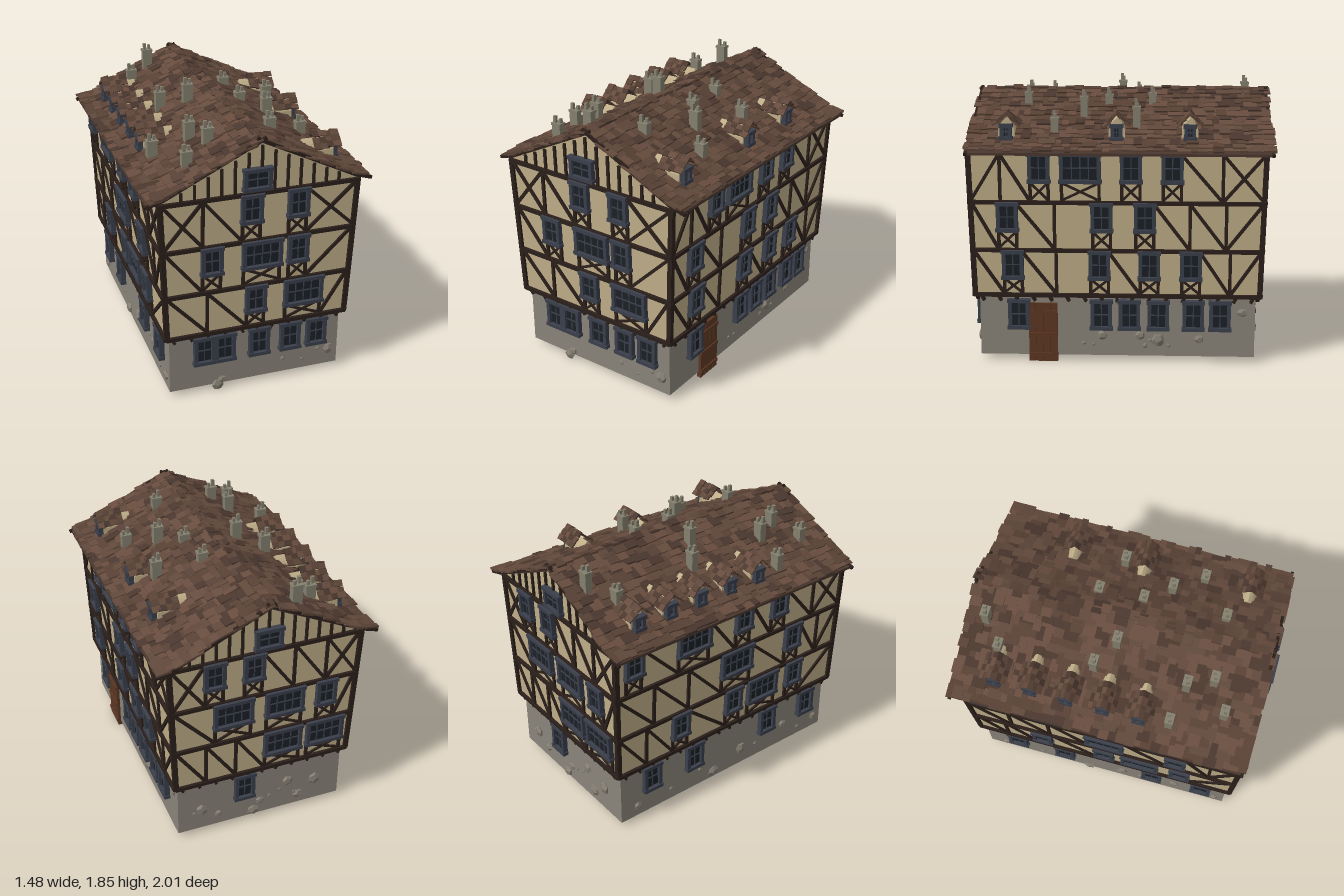
import * as THREE from 'three';
import { mergeGeometries } from 'three/addons/utils/BufferGeometryUtils.js';

const mat = (color, side = THREE.FrontSide) => new THREE.MeshStandardMaterial({ color, flatShading: true, side });
const M = {
  plaster: mat(0xbfae88, THREE.DoubleSide), stone: mat(0x89847a, THREE.DoubleSide), rock: mat(0x857f73),
  timber: mat(0x2b1f1a), frame: mat(0x3a3f4b), glass: mat(0x1b2026), door: mat(0x5c3622), chimney: mat(0x84806f),
  tiles: [mat(0x5f473a), mat(0x574034), mat(0x674c3e), mat(0x4a372e)],
};
const LEVELS = [0.46, 0.765, 1.085, 1.41]; // floor lines
const ZC = 0.022; // middle of the walls along z

let seed = 7;
const rnd = (a, b) => {
  seed = (seed * 16807) % 2147483647;
  return a + (b - a) * (seed / 2147483647);
};

const box = (w, h, d, x, y, z) => new THREE.BoxGeometry(w, h, d).translate(x, y, z);
// Timber from one point to another in the plane of a wall
const beam = (x1, y1, x2, y2, w = 0.021, d = 0.028, z = 0) =>
  new THREE.BoxGeometry(Math.hypot(x2 - x1, y2 - y1) + w / 2, w, d)
    .rotateZ(Math.atan2(y2 - y1, x2 - x1)).translate((x1 + x2) / 2, (y1 + y2) / 2, z);
const add = (parent, name, geos, material) => {
  const mesh = new THREE.Mesh(Array.isArray(geos) ? mergeGeometries(geos) : geos, material);
  mesh.name = name;
  parent.add(mesh);
};
const polygon = (pts) => new THREE.Shape(pts.map((p) => new THREE.Vector2(...p)));

// Framed window standing in the plane z = 0
function addWindow(parent, x, y0, y1, w) {
  const g = new THREE.Group(), h = y1 - y0, y = (y0 + y1) / 2, t = 0.024, cols = w > 0.22 ? 4 : 2;
  g.name = 'window';
  const frame = [-1, 1].flatMap((s) => [
    box(t, h, 0.05, x + s * (w - t) / 2, y, 0.01),
    box(w + 0.012, t, 0.056, x, y + s * (h - t) / 2, 0.012),
  ]);
  for (let i = 1; i < cols; i++) frame.push(box(0.007, h - t, 0.02, x - w / 2 + t + (w - 2 * t) * i / cols, y, 0.011));
  frame.push(box(w - t, 0.007, 0.02, x, y, 0.011));
  add(g, 'windowFrame', frame, M.frame);
  add(g, 'windowGlass', box(w - t, h - t, 0.022, x, y, 0.004), M.glass);
  parent.add(g);
}

// Roof surface height and slope at a distance from the ridge
const roofY = (x) => (x < 0.62 ? 1.75 - 0.48 * x : 1.4524 - 0.29 * (x - 0.62));
const roofSlope = (x) => Math.atan(x < 0.62 ? 0.48 : 0.29);

// Window centres along each wall, from the ground floor up; big stones as [along, y]
const WALLS = [
  { name: 'frontWall', rot: 0, s: 1, c: 0, gable: true, gableWindow: -0.03, pebbles: 3,
    single: [[-0.355, -0.215, 0.02, 0.235, 0.42], [-0.02], [-0.315, 0.255], [-0.06, 0.245]],
    wide: [[], [0.305], [0.015], []],
    stones: [[-0.23, 0.07], [0.52, 0.155], [-0.26, 0.035]] },
  { name: 'rightWall', rot: Math.PI / 2, s: -1, c: ZC, pebbles: 5, door: 0.51,
    single: [[0.67, 0.125, -0.06, -0.25, -0.48, -0.655], [0.7, 0.135, -0.19, -0.46], [0.73, 0.12, -0.16], [0.52, -0.07, -0.335]],
    wide: [[], [], [], [0.255]],
    stones: [[0.12, 0.18], [-0.13, 0.18], [-0.25, 0.15], [-0.52, 0.16], [-0.8, 0.345]] },
  { name: 'backWall', rot: Math.PI, s: -1, c: 0, gable: true, gableWindow: 0, pebbles: 5,
    single: [[0.12], [], [-0.42], [0.35, 0.09]],
    wide: [[], [-0.13, -0.43], [0.22, -0.13], []],
    stones: [[0.42, 0.2], [0.3, 0.13], [0.05, 0.08], [-0.2, 0.26], [-0.4, 0.22], [-0.28, 0.12], [0, 0.15]] },
  { name: 'leftWall', rot: -Math.PI / 2, s: 1, c: ZC, pebbles: 5,
    single: [[-0.64, -0.28, 0.38, 0.75], [-0.42, 0.03, 0.58], [0.54], [-0.8, 0.08, 0.39]],
    wide: [[], [0.29], [0.04], [-0.33]],
    stones: [[-0.75, 0.12], [0.15, 0.17], [-0.1, 0.09], [0.55, 0.2], [0.86, 0.13]] },
];

// Diagonals and posts filling the free stretch a..b of a storey
function braceGap(a, b, lo, hi, leftEnd, rightEnd, gable) {
  const width = b - a, out = [], top = hi === LEVELS[3];
  if (width < (leftEnd || rightEnd ? 0.1 : 0.19)) return out;
  const n = Math.max(1, Math.round(width / 0.24)), step = width / n;
  for (let i = 0; i < n; i++) {
    const l = a + i * step + 0.01, r = l + step - 0.02, y0 = lo + 0.02, y1 = hi - 0.02;
    const first = leftEnd && i === 0, last = rightEnd && i === n - 1;
    if (i > 0) out.push(beam(l - 0.01, lo, l - 0.01, hi));
    if (i > 0 && !leftEnd && !rightEnd) continue;
    const rising = last || (top && first), cross = top && (last || (first && gable));
    if (rising) out.push(beam(l, y0, r, y1));
    if (!rising || cross) out.push(beam(l, y1, r, y0));
  }
  return out;
}

function buildWall({ name, rot, s, c, gable, gableWindow, pebbles, door, single, wide, stones }) {
  const U = (v) => s * (v - c); // world position to position along the wall
  const g = new THREE.Group(), upper = new THREE.Group(), tilt = new THREE.Group(), base = new THREE.Group();
  g.name = name; upper.name = 'upperFloors'; base.name = 'groundFloor';
  g.rotation.y = rot;
  const [baseHalf, half, topHalf] = gable ? [0.585, 0.605, 0.64] : [0.907, 0.9325, 0.9525];
  base.position.z = gable ? 0.907 : 0.585;
  // Upper storeys lean slightly outward
  tilt.position.set(0, 0.46, gable ? 0.9325 : 0.605);
  tilt.rotation.x = gable ? 0.021 : 0.037;
  upper.position.y = -0.46;
  tilt.add(upper);
  g.add(base, tilt);

  add(base, 'stoneWall', new THREE.PlaneGeometry(2 * baseHalf, 0.43).translate(0, 0.255, 0), M.stone);
  const peak = gable ? [[0, 1.735]] : [];
  add(upper, 'plasterWall', new THREE.ShapeGeometry(polygon([[-half, 0.46], [half, 0.46], [topHalf, 1.42], ...peak, [-topHalf, 1.42]])), M.plaster);

  // Timber frame: floor beams, corner posts, window posts with crosses, braces
  const t = [];
  const halfAt = (y) => half + (topHalf - half) * (y - 0.46) / 0.95;
  for (const y of LEVELS) t.push(beam(-halfAt(y), y, halfAt(y), y, 0.026, 0.04));
  for (const m of [-1, 1]) t.push(beam(m * half, 0.46, m * topHalf, 1.41, 0.03, 0.034));
  for (let floor = 0; floor < 4; floor++) {
    const wins = [...single[floor].map((v) => [U(v), 0.14]), ...wide[floor].map((v) => [U(v), 0.265])].sort((p, q) => p[0] - q[0]);
    if (floor === 0) {
      for (const [u, w] of wins) addWindow(base, u, 0.222, 0.428, w);
      continue;
    }
    const lo = LEVELS[floor - 1], hi = LEVELS[floor], sill = hi - 0.195;
    let from = -halfAt(lo);
    for (const [u, w] of wins) {
      const k = w / 2 - 0.012;
      addWindow(upper, u, sill, hi + 0.004, w);
      for (const m of [-1, 1]) t.push(beam(u + m * k, lo, u + m * k, hi), beam(u - m * k, lo + 0.015, u + m * k, sill, 0.015, 0.024));
      t.push(...braceGap(from, u - k, lo, hi, from === -halfAt(lo), false, gable));
      from = u + k;
    }
    t.push(...braceGap(from, halfAt(lo), lo, hi, false, true, gable));
  }
  if (gable) {
    addWindow(upper, U(gableWindow), 1.435, 1.585, 0.18);
    for (let x = -0.51; x < 0.52; x += 0.085) {
      const low = Math.abs(x - U(gableWindow)) < 0.09 ? 1.585 : 1.41;
      t.push(beam(x, low, x, roofY(Math.abs(x)) - 0.03, 0.017));
    }
  }
  add(upper, 'timberFrame', t, M.timber);

  // Slanted joist ends beneath the overhang
  const joists = [], n = gable ? 10 : 16;
  for (let i = 0; i <= n; i++) {
    const x = (baseHalf - 0.01) * (2 * i / n - 1);
    joists.push(beam(x, 0.455, x - Math.sign(x) * 0.02, 0.42, 0.018, 0.04, 0.01));
  }
  add(base, 'joistEnds', joists, M.timber);

  // Stones bulging out of the ground floor
  const rock = (u, y, r) => new THREE.DodecahedronGeometry(r, 0)
    .rotateZ(rnd(0, 3)).rotateX(rnd(0, 3)).scale(1, rnd(0.8, 1.1), 0.5).translate(u, y, 0.003);
  const rocks = stones.map(([v, y]) => rock(U(v), y, rnd(0.03, 0.045)));
  for (let i = 0; i < pebbles; i++) rocks.push(rock(baseHalf * rnd(-0.9, 0.9), rnd(0.08, 0.21), rnd(0.012, 0.018)));
  add(base, 'wallStones', rocks, M.rock);

  // Plank door with battens
  if (door) {
    const planks = [];
    for (let i = 0; i < 4; i++) planks.push(box(0.046, 0.4, 0.03, U(door) - 0.072 + i * 0.048, 0.2, 0.005));
    for (const y of [0.05, 0.19, 0.34]) planks.push(box(0.19, 0.022, 0.02, U(door), y, 0.018));
    add(base, 'door', planks, M.door);
  }
  return g;
}

function buildDormer(side, z, tileSets) {
  const g = new THREE.Group();
  g.name = 'dormer';
  const face = polygon([[-0.055, -0.04], [0.055, -0.04], [0.052, 0.07]]);
  face.quadraticCurveTo(0.04, 0.12, 0, 0.145);
  face.quadraticCurveTo(-0.04, 0.12, -0.052, 0.07);
  add(g, 'dormerWall', new THREE.ExtrudeGeometry(face, { depth: 0.2, bevelEnabled: false, curveSegments: 4 }).translate(0, 0, -0.2), M.plaster);
  addWindow(g, 0, 0.005, 0.11, 0.075);
  g.position.set(side * 0.555, 1.475, z);
  g.rotation.y = side * Math.PI / 2;
  // Small pitched roof of loose tiles
  for (const m of [-1, 1]) for (let i = 0; i < 4; i++) for (let j = 0; j < 3; j++) {
    tileSets[(i + j) % 4].push(new THREE.BoxGeometry(0.055, 0.01, 0.04)
      .rotateX(m * 0.75 + rnd(-0.12, 0.12)).rotateZ(side * rnd(-0.2, 0.05))
      .translate(side * (0.57 - i * 0.042), 1.632 - j * 0.027 + rnd(0, 0.014), z + m * (0.014 + j * 0.028)));
  }
  return g;
}

function buildRoof() {
  const roof = new THREE.Group();
  roof.name = 'roof';
  // Boards, then bargeboards at both gables
  const edge = [-0.72, -0.62, 0, 0.62, 0.72];
  const line = (drop) => edge.map((x) => [x, roofY(Math.abs(x)) - drop]);
  const section = polygon([...line(0.022), ...line(0.005).reverse()]);
  add(roof, 'roofBoards', new THREE.ExtrudeGeometry(section, { depth: 1.94, bevelEnabled: false }).translate(0, 0, -0.97), M.tiles[3]);
  const barge = [];
  for (const z of [-0.965, 0.975]) for (const m of [-1, 1])
    barge.push(beam(m * -0.025, 1.762, m * 0.62, 1.443, 0.02, 0.02, z), beam(m * 0.62, 1.443, m * 0.73, 1.41, 0.02, 0.02, z));
  add(roof, 'bargeboards', barge, M.timber);

  // Uneven overlapping tiles, gathered by shade
  const tileSets = M.tiles.map(() => []);
  const tile = (w, h, d, rz, x, y, z) =>
    tileSets[Math.floor(rnd(0, 3.6))].push(new THREE.BoxGeometry(w, h, d).rotateY(rnd(-0.04, 0.04)).rotateZ(rz).translate(x, y, z));
  for (const m of [-1, 1]) for (let x = 0.03; x < 0.72; x += 0.05) {
    for (let z = -0.995 + rnd(0, 0.025); z < 0.965;) {
      const d = Math.min(rnd(0.035, 0.1), 0.998 - z), along = Math.min(x + rnd(-0.012, 0.012), 0.695);
      tile(rnd(0.075, 0.095), rnd(0.008, 0.016), d, -m * (roofSlope(x) - rnd(0.05, 0.16)), m * along, roofY(x) + rnd(0.002, 0.012), z + d / 2);
      z += d;
    }
  }
  for (let z = -0.95; z < 0.97; z += 0.06) tile(0.06, 0.014, 0.065, rnd(-0.4, 0.4), rnd(-0.012, 0.012), 1.758 + rnd(-0.004, 0.008), z);
  for (const z of [-0.445, 0.025, 0.735]) roof.add(buildDormer(1, z, tileSets));
  for (let i = 0; i < 5; i++) roof.add(buildDormer(-1, -0.7 + 0.24 * i, tileSets));
  tileSets.forEach((set, i) => add(roof, 'roofTiles', set, M.tiles[i]));

  // Chimneys as x, z, top
  for (const [x, z, top] of [[-0.22, -0.84, 1.83], [-0.37, -0.72, 1.73], [-0.33, -0.1, 1.77], [-0.17, 0.01, 1.845], [-0.54, 0.45, 1.66],
    [-0.31, 0.5, 1.78], [-0.24, 0.66, 1.79], [-0.41, 0.77, 1.7], [0.15, -0.2, 1.79], [0.43, -0.1, 1.73], [0.17, 0.09, 1.78],
    [0.3, 0.25, 1.78], [0.47, 0.43, 1.66], [0.18, 0.63, 1.795]]) {
    const low = roofY(Math.abs(x)) - 0.04, h = top - 0.045 - low;
    add(roof, 'chimney', [box(0.066, h, 0.048, x, low + h / 2, z), box(0.074, 0.016, 0.056, x, top - 0.053, z),
      box(0.02, 0.05, 0.02, x - 0.017, top - 0.025, z + 0.006), box(0.018, 0.034, 0.02, x + 0.018, top - 0.033, z - 0.006)], M.chimney);
  }
  return roof;
}

export function createModel() {
  const root = new THREE.Group(), house = new THREE.Group();
  root.name = 'timberHouse';
  house.name = 'walls';
  house.position.z = ZC;
  for (const wall of WALLS) house.add(buildWall(wall));
  // Underside of the overhang
  const rect = (a, b) => polygon([[-a, -b], [a, -b], [a, b], [-a, b]]);
  const ledge = rect(0.605, 0.9325);
  ledge.holes.push(rect(0.58, 0.9));
  add(house, 'overhang', new THREE.ShapeGeometry(ledge).rotateX(Math.PI / 2).translate(0, 0.457, 0), M.plaster);
  root.add(house, buildRoof());
  return root;
}
